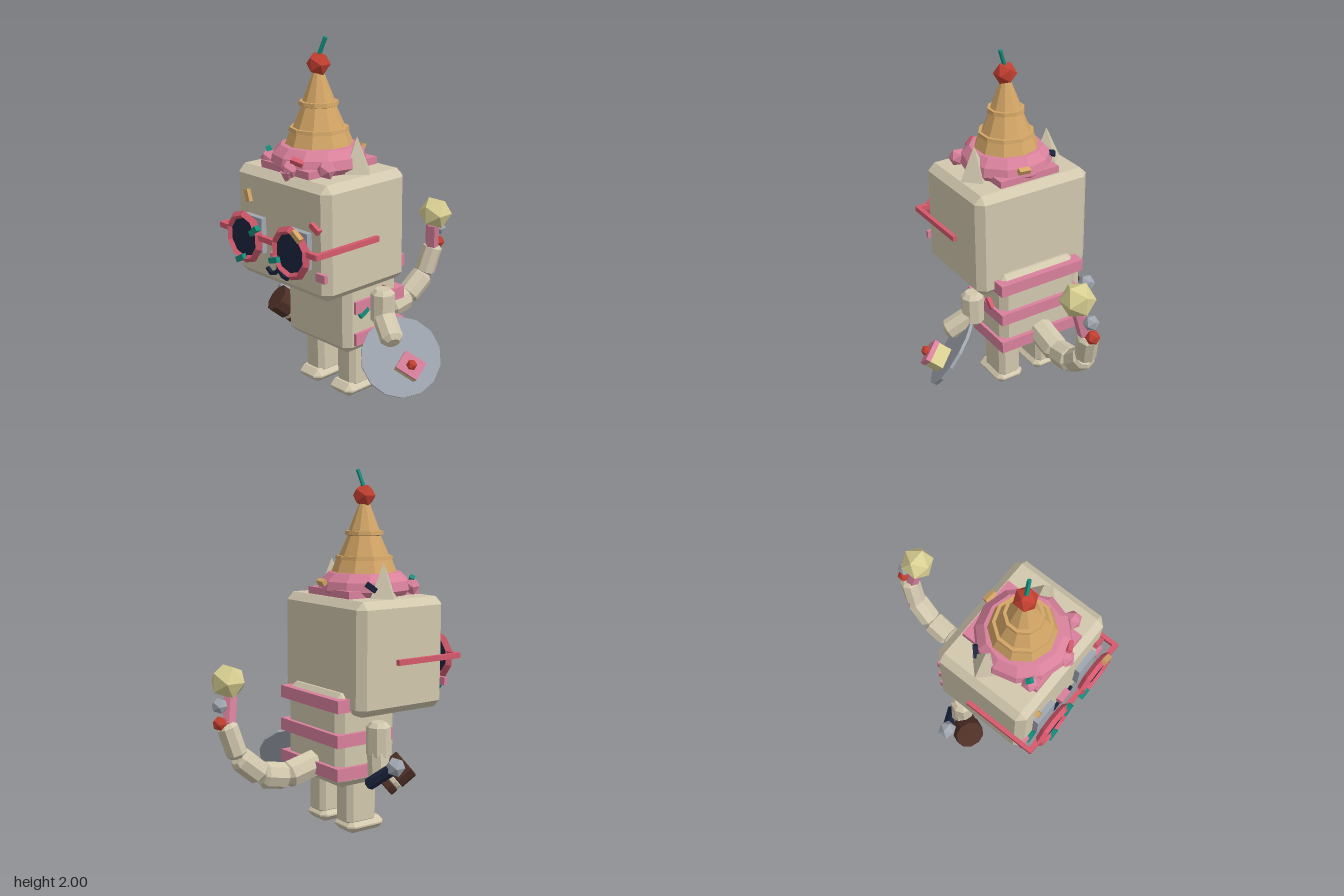
import * as THREE from 'three';
import { ConvexGeometry } from 'three/addons/geometries/ConvexGeometry.js';

const colours = {
  fur: 0xd2c8ae, icing: 0xd9819c, coral: 0xd65a6d, cherry: 0xc23f30, wafer: 0xd3a566,
  navy: 0x1c2540, teal: 0x14907e, chocolate: 0x4f3027, steel: 0xa0a6b0, cream: 0xd8cf92,
};
const mats = {};
for (const [name, color] of Object.entries(colours)) {
  mats[name] = new THREE.MeshStandardMaterial({ color, flatShading: true });
  mats[name].name = name;
}
const V = (x, y, z) => new THREE.Vector3(x, y, z);
const UP = V(0, 1, 0);
const CX = -0.067; // symmetry plane of head and body

export function createModel() {
  const root = new THREE.Group();
  root.name = 'catFigure';

  function add(name, geo, mat, pos, rot = [0, 0, 0], parent = root) {
    const g = geo.index ? geo.toNonIndexed() : geo;
    g.computeVertexNormals();
    const m = new THREE.Mesh(g, mats[mat]);
    m.name = name;
    m.position.set(...pos);
    m.rotation.set(...rot);
    parent.add(m);
    return m;
  }
  // box with flat chamfers on all edges
  function chamferBox(w, h, d, c) {
    const pts = [];
    for (const sx of [-1, 1]) for (const sy of [-1, 1]) for (const sz of [-1, 1]) {
      const x = w / 2, y = h / 2, z = d / 2;
      pts.push(V(sx * x, sy * (y - c), sz * (z - c)), V(sx * (x - c), sy * y, sz * (z - c)),
        V(sx * (x - c), sy * (y - c), sz * z));
    }
    return new ConvexGeometry(pts);
  }
  // box given by its min and max on each axis
  function boxAt(name, mat, [x0, x1], [y0, y1], [z0, z1], c = 0) {
    const s = [x1 - x0, y1 - y0, z1 - z0];
    return add(name, c ? chamferBox(...s, c) : new THREE.BoxGeometry(...s), mat,
      [(x0 + x1) / 2, (y0 + y1) / 2, (z0 + z1) / 2]);
  }
  const lathe = (pts, sides) =>
    new THREE.LatheGeometry(pts.map(([r, y]) => new THREE.Vector2(r, y)), sides);
  // faceted limb with bevelled ends, from a to b
  function limb(name, mat, a, b, r, bevel = 0.025, sides = 8) {
    const p = V(...a), q = V(...b), h = p.distanceTo(q) / 2;
    const geo = lathe([[0, -h], [r - bevel, -h], [r, bevel - h], [r, h - bevel], [r - bevel, h], [0, h]], sides);
    const m = add(name, geo, mat, p.clone().add(q).multiplyScalar(0.5).toArray());
    m.quaternion.setFromUnitVectors(UP, q.sub(p).normalize());
    return m;
  }
  const ball = (name, mat, pos, r, parent) =>
    add(name, new THREE.IcosahedronGeometry(r, 0), mat, pos, [0, 0, 0], parent);

  // Head and body
  boxAt('head', 'fur', [-0.435, 0.30], [0.69, 1.31], [-0.015, 0.575], 0.042);
  boxAt('body', 'fur', [-0.32, 0.19], [0.29, 0.81], [-0.07, 0.33], 0.04);
  for (const y of [0.375, 0.56, 0.75])
    boxAt('bodyStripe', 'icing', [-0.342, 0.208], [y - 0.035, y + 0.035], [-0.095, 0.28]);

  // Ears, legs, feet, eyes and cheeks on both sides
  for (const s of [-1, 1]) {
    add('ear', new THREE.ConeGeometry(0.095, 0.2, 4), 'fur', [CX + s * 0.238, 1.4, 0.235]);
    const lx = CX + s * 0.13;
    boxAt('leg', 'fur', [lx - 0.072, lx + 0.072], [0.04, 0.33], [0.04, 0.24], 0.028);
    boxAt('foot', 'fur', [lx - 0.09, lx + 0.09], [0, 0.075], [0.035, 0.287], 0.033);
    const ex = CX + s * 0.182;
    boxAt('eye', 'steel', [ex - 0.075, ex + 0.075], [0.86, 1.055], [0.57, 0.607]);
    const kx = CX + s * 0.335;
    boxAt('cheek', 'icing', [kx - 0.034, kx + 0.034], [0.81, 0.855], [0.57, 0.592]);
    // Glasses: rim, lens, hinge bar and temple
    const gx = CX + s * 0.187;
    add('glassesRim', new THREE.TorusGeometry(0.123, 0.024, 4, 10), 'coral', [gx, 0.95, 0.658], [0, 0, Math.PI / 10]);
    add('glassesLens', new THREE.CylinderGeometry(0.115, 0.115, 0.009, 10), 'navy', [gx, 0.95, 0.66], [Math.PI / 2, 0, 0]);
    const hx = CX + s * 0.35;
    boxAt('glassesHinge', 'coral', [hx - 0.04, hx + 0.04], [0.96, 0.99], [0.64, 0.668]);
    const tx = CX + s * 0.382;
    boxAt('glassesTemple', 'coral', [tx - 0.012, tx + 0.012], [0.96, 0.99], [0.225, 0.665]);
  }
  boxAt('glassesBridge', 'coral', [CX - 0.07, CX + 0.07], [0.96, 0.99], [0.645, 0.67]);

  // Nose and mouth
  boxAt('nose', 'icing', [-0.105, -0.026], [0.835, 0.888], [0.57, 0.612]);
  const strokes = [[0, 0.84, 0, 0.787]];
  for (const s of [-1, 1]) strokes.push([0, 0.792, s * 0.035, 0.765], [s * 0.03, 0.765, s * 0.068, 0.758], [s * 0.062, 0.757, s * 0.092, 0.779]);
  for (const [x0, y0, x1, y1] of strokes)
    add('mouthStroke', new THREE.BoxGeometry(Math.hypot(x1 - x0, y1 - y0) + 0.008, 0.018, 0.02), 'navy',
      [CX + (x0 + x1) / 2, (y0 + y1) / 2, 0.583], [0, 0, Math.atan2(y1 - y0, x1 - x0)]);

  // Upturned ice cream cone hat
  add('icingPad', new THREE.BoxGeometry(0.38, 0.05, 0.49), 'icing', [CX, 1.325, 0.285]);
  add('icingRing', lathe([[0, 1.3], [0.23, 1.3], [0.262, 1.34], [0.25, 1.39], [0.205, 1.435], [0, 1.445]], 12),
    'icing', [CX, 0, 0.29]);
  for (const [x, y, z] of [[-0.02, 1.34, 0.53], [0.16, 1.355, 0.44], [-0.245, 1.355, 0.48]]) {
    ball('icingDrip', 'icing', [x, y, z], 0.052);
  }
  add('icingDripTip', new THREE.ConeGeometry(0.042, 0.08, 6), 'icing', [-0.025, 1.29, 0.545], [Math.PI, 0, 0]);
  add('waferCone', lathe([[0, 1.41], [0.185, 1.43], [0.155, 1.505], [0.162, 1.505], [0.158, 1.525], [0.14, 1.525],
    [0.092, 1.635], [0.108, 1.64], [0.105, 1.662], [0.087, 1.662], [0.03, 1.81], [0, 1.82]], 10), 'wafer', [CX, 0, 0.285]);
  ball('hatCherry', 'cherry', [-0.065, 1.855, 0.285], 0.066);
  limb('cherryStem', 'teal', [-0.062, 1.9, 0.285], [-0.025, 1.997, 0.27], 0.012, 0.002, 5);

  // Sprinkles: colour, position, rotation
  const sprinkles = [
    ['wafer', [-0.305, 1.155, 0.585], [0, 0, 1.85]], ['coral', [0.23, 1.09, 0.585], [0, 0, -0.5]],
    ['teal', [-0.35, 0.81, 0.585], [0, 0, 0.6]], ['teal', [-0.27, 0.832, 0.675], [0, 0, 0.5]],
    ['teal', [-0.15, 1.01, 0.675], [0, 0, 0.7]], ['teal', [0.01, 0.89, 0.675], [0, 0, 0.3]],
    ['wafer', [0.19, 1.06, 0.675], [0, 0, -0.6]],
    ['teal', [-0.24, 1.385, 0.48], [0.5, -0.6, -0.6]], ['coral', [0.025, 1.385, 0.52], [0.5, 0.3, -0.5]],
    ['wafer', [-0.02, 1.385, 0.03], [-0.5, -0.1, 0]], ['navy', [-0.295, 1.37, 0.16], [0, 0.8, 0.6]],
    ['teal', [0.195, 0.52, 0.215], [0.5, Math.PI / 2, 0]], ['coral', [0.2, 0.605, 0.045], [-0.7, Math.PI / 2, 0]],
    ['navy', [-0.325, 0.5, 0.2], [0.6, Math.PI / 2, 0]],
  ];
  for (const [mat, pos, rot] of sprinkles)
    add('sprinkle', new THREE.BoxGeometry(0.068, 0.03, 0.028), mat, pos, rot);

  // Arms
  limb('leftUpperArm', 'fur', [0.265, 0.655, 0.135], [0.265, 0.45, 0.135], 0.067);
  limb('leftForearm', 'fur', [0.26, 0.51, 0.13], [0.41, 0.40, 0.20], 0.063);
  limb('rightUpperArm', 'fur', [-0.4, 0.655, 0.135], [-0.4, 0.45, 0.135], 0.067);
  limb('rightForearm', 'fur', [-0.4, 0.51, 0.135], [-0.42, 0.33, 0.13], 0.063);

  // Plate with a cake slice, held in the left hand
  const plate = new THREE.Group();
  plate.name = 'cakePlate';
  plate.position.set(0.41, 0.3, 0.14);
  plate.quaternion.setFromUnitVectors(UP, V(0.67, 0.54, 0.5).normalize());
  root.add(plate);
  add('plate', new THREE.CylinderGeometry(0.22, 0.22, 0.018, 14), 'steel', [0, 0, 0], [0, 0, 0], plate);
  const cake = new THREE.Group();
  cake.name = 'cakeSlice';
  cake.position.copy(V(0.056, -0.045, 0.0).applyQuaternion(plate.quaternion.clone().invert())).setY(0);
  cake.rotation.y = 0.3;
  plate.add(cake);
  add('sponge', new THREE.BoxGeometry(0.125, 0.09, 0.1), 'cream', [0, 0.05, 0], [0, 0, 0], cake);
  add('cakeIcing', new THREE.BoxGeometry(0.13, 0.03, 0.105), 'icing', [0, 0.105, 0], [0, 0, 0], cake);
  ball('cakeCherry', 'cherry', [0, 0.132, 0], 0.03, cake);

  // Mallet with a sandwich-biscuit head, held in the right hand
  limb('malletHandle', 'navy', [-0.41, 0.32, 0.06], [-0.54, 0.43, 0.13], 0.034, 0.004, 6);
  ball('malletKnob', 'steel', [-0.548, 0.437, 0.135], 0.055);
  const from = V(-0.43, 0.315, 0.14), to = V(-0.487, 0.425, 0.26);
  const layers = [['chocolate', 0, 0.25, 0.08], ['fur', 0.25, 0.42, 0.074], ['chocolate', 0.42, 1, 0.085]];
  for (const [mat, a, b, r] of layers)
    limb('biscuitLayer', mat, from.clone().lerp(to, a).toArray(), from.clone().lerp(to, b).toArray(), r, 0.005, 10);

  // Tail of jointed segments with sweets at the tip
  const tail = [[-0.07, 0.39, -0.04], [-0.068, 0.34, -0.245], [-0.062, 0.37, -0.4], [-0.045, 0.485, -0.535], [-0.02, 0.67, -0.59]];
  for (let i = 0; i < 4; i++)
    limb('tailSegment', 'fur', tail[i], tail[i + 1], [0.077, 0.074, 0.068, 0.06][i], 0.02);
  limb('tailSweet', 'icing', [-0.015, 0.66, -0.57], [0.015, 0.82, -0.54], 0.04, 0.006, 6);
  ball('tailCherry', 'cherry', [-0.02, 0.675, -0.628], 0.042);
  ball('tailSilverSweet', 'steel', [-0.01, 0.768, -0.622], 0.045);
  ball('tailCreamBall', 'cream', [0.027, 0.885, -0.548], 0.1);

  return root;
}
